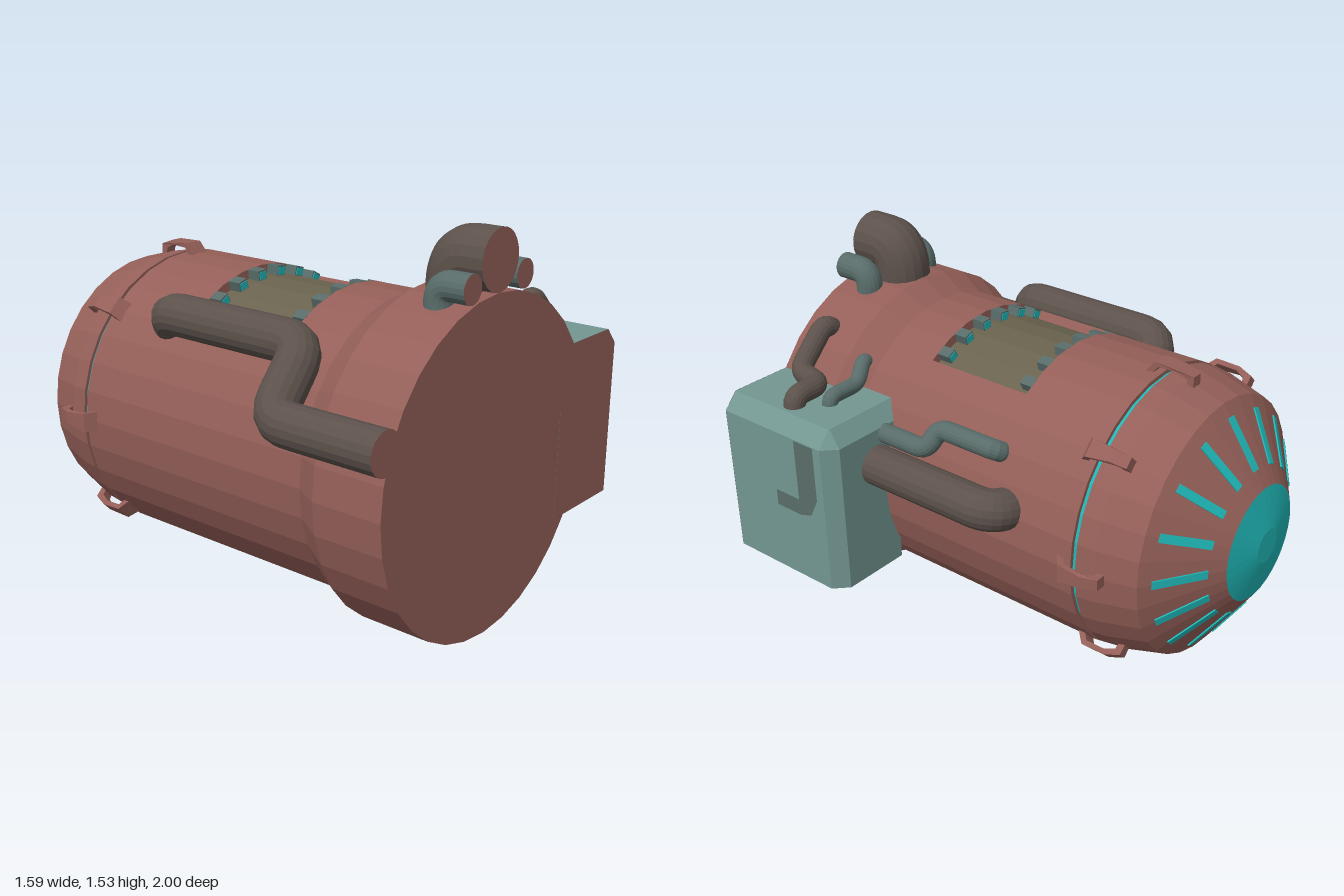
import * as THREE from 'three';

const material = (name, color) => new THREE.MeshStandardMaterial({ name, color, flatShading: true, side: THREE.DoubleSide });

export function createModel() {
  const red = material('hull red', 0x945f58);
  const teal = material('casing grey teal', 0x729691);
  const slate = material('small pipe slate', 0x586c69);
  const brown = material('pipe brown', 0x5c514b);
  const cyan = material('glow cyan', 0x1fb5b5);
  const olive = material('hatch olive', 0x69634e);

  const model = new THREE.Group();
  const hull = new THREE.Group();
  hull.name = 'hull';
  hull.position.set(-0.085, 0.65, 0);
  model.add(hull);

  const add = (parent, name, geometry, mat) => {
    const mesh = new THREE.Mesh(geometry, mat);
    mesh.name = name;
    parent.add(mesh);
    return mesh;
  };

  // Turned part along z; profile is [radius, z], angle 0 is the bottom
  const turned = (name, profile, mat, segments = 32, start = 0, length = Math.PI * 2) => {
    const points = profile.map(([r, z]) => new THREE.Vector2(r, z));
    const geometry = new THREE.LatheGeometry(points, segments, start, length).rotateX(Math.PI / 2);
    return add(hull, name, geometry, mat);
  };

  // Hull shells, with an opening at the top for the hatch
  const R = 0.588, FLOOR = 0.55, Z0 = -0.105, Z1 = 0.37, HALF = 3 * Math.PI / 16;
  turned('nosePlate', [[0, -1], [0.07, -1], [0.235, -0.965]], cyan);
  turned('rearCone', [[0.235, -0.965], [0.53, -0.77], [0.575, -0.61], [0.585, -0.535], [0.56, -0.535]], red);
  turned('glowSeam', [[0.572, -0.537], [0.572, -0.513]], cyan);
  turned('rearBarrel', [[0.56, -0.515], [R, -0.515], [R, Z0]], red);
  turned('middleBarrel', [[R, Z0], [R, Z1]], red, 26, Math.PI + HALF, Math.PI * 2 - HALF * 2);
  turned('frontBarrel', [[R, Z1], [R, 0.6], [0.65, 0.71], [0.65, 1], [0, 1]], red);

  // Sunken hatch and its walls
  turned('hatchFloor', [[FLOOR, Z0], [FLOOR, Z1]], olive, 6, Math.PI - HALF, HALF * 2);
  for (const z of [Z0, Z1]) {
    turned('hatchEndWall', [[FLOOR, z], [R, z]], red, 6, Math.PI - HALF, HALF * 2);
  }
  for (const side of [-1, 1]) {
    const wall = new THREE.PlaneGeometry(R - FLOOR, Z1 - Z0).rotateX(Math.PI / 2);
    wall.rotateZ(Math.PI / 2).translate(0, (R + FLOOR) / 2, (Z0 + Z1) / 2).rotateZ(side * HALF);
    add(hull, 'hatchSideWall', wall, red);
  }

  // Hatch tabs with glowing inner ends
  for (let i = 0; i < 6; i++) {
    const angle = (i - 2.5) * Math.PI / 16;
    for (const [z, inward] of [[Z0 + 0.028, 1], [Z1 - 0.028, -1]]) {
      const tab = new THREE.Group();
      tab.name = 'hatchTab';
      tab.rotation.z = angle;
      add(tab, 'tabBody', new THREE.BoxGeometry(0.045, 0.046, 0.056), slate).position.set(0, 0.563, z);
      add(tab, 'tabGlow', new THREE.BoxGeometry(0.036, 0.03, 0.004), cyan).position.set(0, 0.565, z + inward * 0.029);
      hull.add(tab);
    }
  }

  // Radial glowing slots on the rear cone
  for (let i = 0; i < 16; i++) {
    const slot = new THREE.BoxGeometry(0.034, 0.008, 0.22);
    slot.rotateX(-0.987).translate(0, 0.391, -0.863).rotateZ(i * Math.PI / 8);
    add(hull, 'glowSlot', slot, cyan);
  }

  // Arched clamps bridging the seam, wider at the front
  const arch = new THREE.Shape([
    [-0.45, 0.58], [-0.487, 0.628], [-0.588, 0.628], [-0.65, 0.605], [-0.65, 0.555],
    [-0.625, 0.56], [-0.62, 0.59], [-0.58, 0.608], [-0.5, 0.608], [-0.48, 0.58],
  ].map(([z, r]) => new THREE.Vector2(z, r)));
  for (let i = 0; i < 8; i++) {
    const clamp = new THREE.ExtrudeGeometry(arch, { depth: 1, bevelEnabled: false }).translate(0, 0, -0.5);
    const p = clamp.attributes.position;
    for (let k = 0; k < p.count; k++) {
      const t = Math.max(0, Math.min(1, (p.getX(k) + 0.6) / 0.15));
      p.setZ(k, p.getZ(k) * (0.046 + 0.04 * t));
    }
    clamp.rotateY(-Math.PI / 2).rotateZ(i * Math.PI / 4);
    add(hull, 'seamClamp', clamp, red);
  }

  // Pipe through corner points with rounded bends; pipes starting at z = 1 get a flat end
  const pipe = (name, corners, radius, mat, bend = radius * 1.1) => {
    const pts = corners.map((c) => new THREE.Vector3(...c));
    const path = new THREE.CurvePath();
    let from = pts[0];
    for (let i = 1; i < pts.length - 1; i++) {
      const toward = (q) => {
        const d = q.clone().sub(pts[i]);
        return d.setLength(Math.min(bend, d.length() * 0.48)).add(pts[i]);
      };
      const a = toward(pts[i - 1]), b = toward(pts[i + 1]);
      path.add(new THREE.LineCurve3(from, a));
      path.add(new THREE.QuadraticBezierCurve3(a, pts[i], b));
      from = b;
    }
    path.add(new THREE.LineCurve3(from, pts[pts.length - 1]));
    add(model, name, new THREE.TubeGeometry(path, 48, radius, 18), mat);
    if (pts[0].z === 1) {
      add(model, name + 'End', new THREE.CircleGeometry(radius, 24), red).position.copy(pts[0]);
    }
  };

  // Large pipes
  pipe('topPipe', [[-0.085, 1.415, 1], [-0.085, 1.415, 0.83], [-0.085, 1.2, 0.83]], 0.115, brown);
  for (const x of [-0.25, 0.08]) {
    pipe('topSmallPipe', [[x, 1.34, 1], [x, 1.34, 0.865], [x, 1.2, 0.865]], 0.055, slate);
  }
  pipe('rightSidePipe', [[-0.712, 0.888, 1], [-0.712, 0.888, 0.5], [-0.525, 1.115, 0.5],
    [-0.525, 1.115, -0.2], [-0.41, 0.98, -0.2]], 0.082, brown);
  pipe('leftSidePipe', [[0.548, 0.79, 0.5], [0.548, 0.79, -0.19], [0.36, 0.76, -0.19]], 0.082, brown);

  // Thin pipes around the casing
  pipe('leftThinPipe', [[0.49, 0.905, 0.5], [0.49, 0.905, 0.19], [0.437, 0.985, 0.165],
    [0.437, 0.985, -0.115], [0.33, 0.92, -0.115]], 0.04, slate);
  pipe('casingPipe', [[0.27, 1.13, 0.875], [0.34, 1.195, 0.875], [0.495, 1.04, 0.875],
    [0.53, 1.04, 0.72], [0.67, 1.04, 0.72], [0.67, 0.95, 0.72]], 0.044, brown);
  pipe('casingThinPipe', [[0.3, 1.05, 0.66], [0.345, 1.1, 0.655], [0.42, 1.03, 0.62],
    [0.575, 1.03, 0.62], [0.575, 0.95, 0.62]], 0.032, slate);

  // Side casing: plan loops with chamfered corners and a chamfered top
  const plan = [[0.39, 1], [0.79, 1], [0.79, 0.465], [0.735, 0.41], [0.44, 0.41], [0.39, 0.465]];
  const topPlan = [[0.39, 1], [0.73, 1], [0.73, 0.467], [0.728, 0.465], [0.44, 0.465], [0.39, 0.467]];
  const positions = [], index = [];
  [[plan, 0.3], [plan, 0.937], [topPlan, 1.003]].forEach(([loop, y]) => loop.forEach(([x, z]) => positions.push(x, y, z)));
  for (let i = 0; i < 6; i++) {
    const n = (i + 1) % 6;
    for (const o of [0, 6]) index.push(o + i, o + n, o + 6 + n, o + i, o + 6 + n, o + 6 + i);
    if (i > 0 && i < 5) index.push(0, i + 1, i, 12, 12 + i, 13 + i);
  }
  const casing = new THREE.BufferGeometry();
  casing.setAttribute('position', new THREE.Float32BufferAttribute(positions, 3));
  casing.setIndex(index);
  casing.computeVertexNormals();
  add(model, 'sideCasing', casing, teal);

  // Red front face of the casing
  const face = new THREE.Shape([[0.39, 0.3], [0.79, 0.3], [0.79, 0.937], [0.73, 1.003], [0.39, 1.003]]
    .map(([x, y]) => new THREE.Vector2(x, y)));
  add(model, 'casingFront', new THREE.ShapeGeometry(face).translate(0, 0, 1.001), red);

  // Flush conduit on the casing's outer side
  const conduit = new THREE.Shape([[-0.6, 0.6], [-0.735, 0.6], [-0.735, 0.67], [-0.605, 0.67], [-0.605, 0.935],
    [-0.5, 0.935], [-0.5, 0.7], [-0.54, 0.62]].map(([z, y]) => new THREE.Vector2(z, y)));
  add(model, 'casingConduit', new THREE.ShapeGeometry(conduit).rotateY(Math.PI / 2).translate(0.793, 0, 0), slate);

  return model;
}
